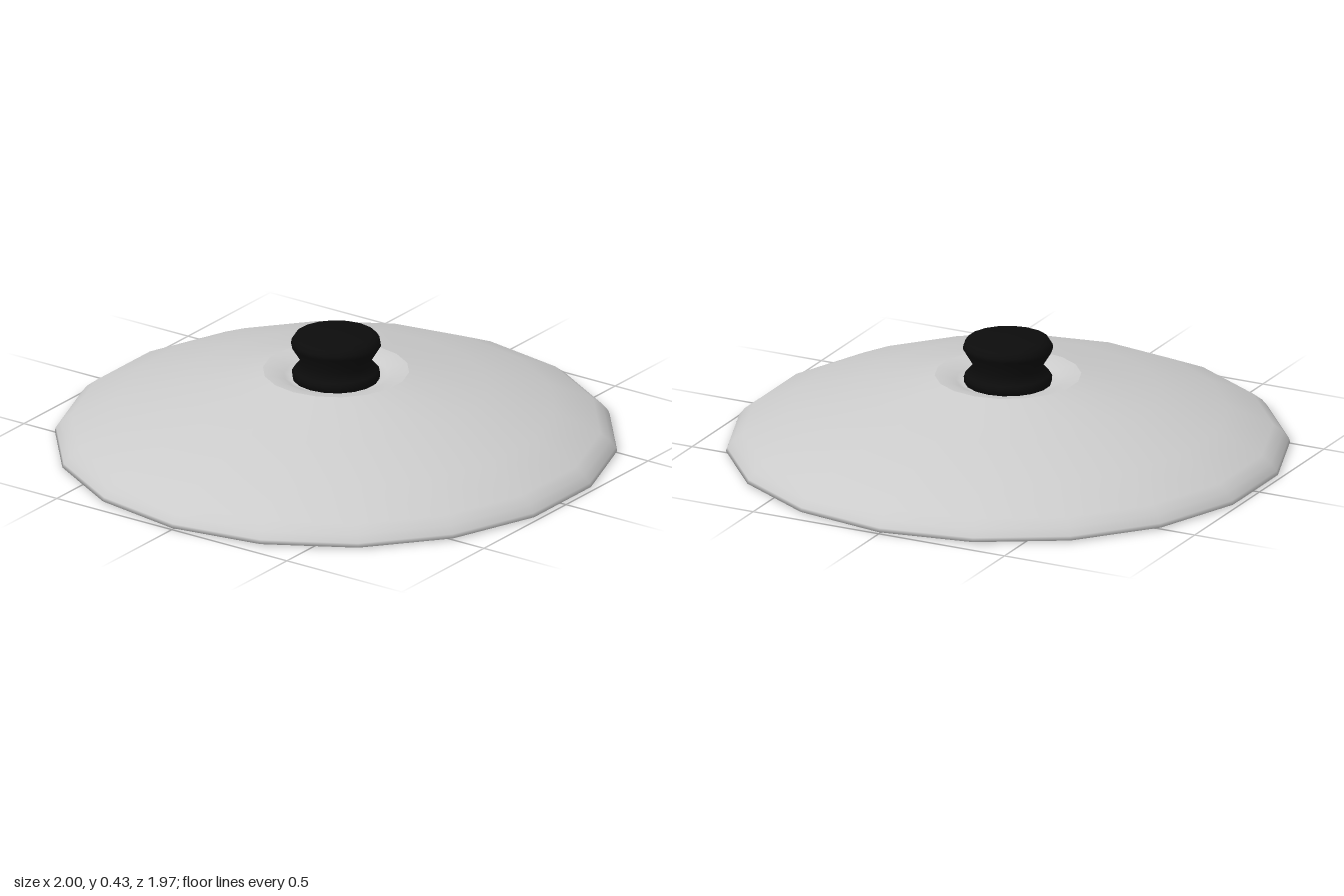
import * as THREE from 'three';

const SIDES = 18;

// Turn a list of [radius, height] points around the y axis, with a corner on +x
function turned(name, points, color) {
  const profile = points.map(([r, y]) => new THREE.Vector2(r, y));
  const geometry = new THREE.LatheGeometry(profile, SIDES, Math.PI / 2);
  const mesh = new THREE.Mesh(geometry, new THREE.MeshStandardMaterial({ color }));
  mesh.name = name;
  return mesh;
}

export function createModel() {
  const lid = new THREE.Group();
  lid.name = 'potLid';

  // Domed shell: underside, rolled rim, dome, then the dip around the knob
  lid.add(turned('shell', [
    [0.26, 0.245], [0.53, 0.19], [0.77, 0.12], [0.92, 0.055], [0.96, 0.005],
    [0.975, 0], [1, 0.006], [0.995, 0.02], [0.975, 0.045], [0.94, 0.072],
    [0.78, 0.145], [0.54, 0.213], [0.26, 0.278],
  ], 0xcccccc));

  // Recess that the knob sits in
  lid.add(turned('knobRecess', [
    [0.26, 0.278], [0.22, 0.273], [0.185, 0.26], [0.16, 0.25], [0, 0.248],
  ], 0xcccccc));

  // Flat disc closing the underside
  lid.add(turned('undersideDisc', [[0, 0.245], [0.26, 0.245]], 0xcccccc));

  // Waisted knob with a slightly domed top
  lid.add(turned('knob', [
    [0, 0.25], [0.155, 0.25], [0.157, 0.272], [0.148, 0.283], [0.122, 0.312],
    [0.16, 0.375], [0.158, 0.39], [0.148, 0.406], [0.125, 0.414], [0, 0.43],
  ], 0x0c0c0c));

  return lid;
}
